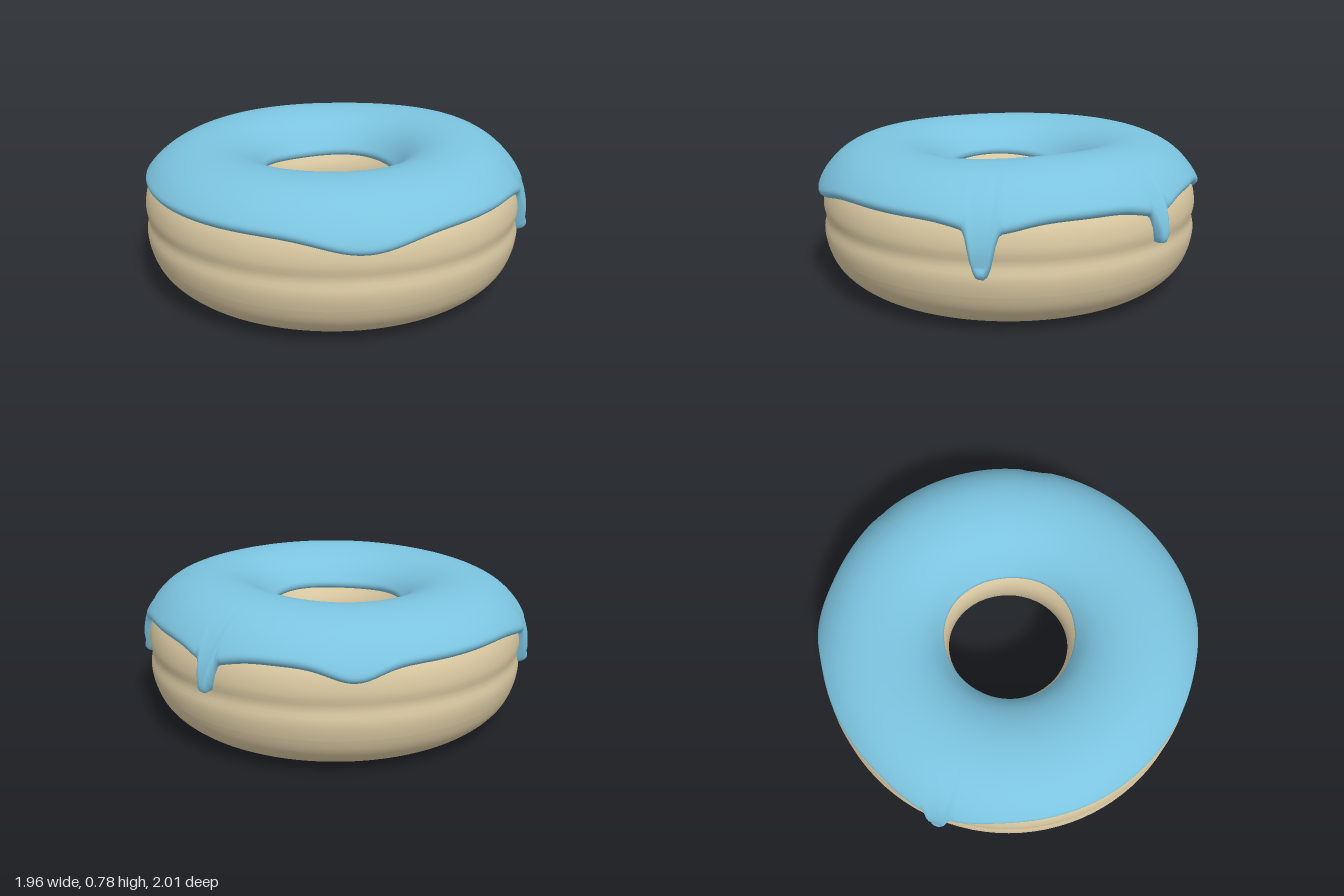
import * as THREE from 'three';

const RAD = Math.PI / 180, CZ = 0.02;

// Dough cross-section (radius, height): up the outside, over the top, down the hole, along the base
const PROFILE = new THREE.CatmullRomCurve3([
  [0.965, 0.21], [0.98, 0.3], [0.969, 0.365], [0.98, 0.43], [0.965, 0.52], [0.925, 0.59],
  [0.86, 0.655], [0.77, 0.7], [0.65, 0.716], [0.54, 0.7], [0.44, 0.65], [0.37, 0.57],
  [0.322, 0.48], [0.32, 0.38], [0.35, 0.27], [0.41, 0.15], [0.49, 0.05], [0.57, 0.01],
  [0.65, 0], [0.74, 0.008], [0.84, 0.048], [0.925, 0.125],
].map(([r, y]) => new THREE.Vector3(r, y, 0)), true);
const STEPS = 800;
const SAMPLES = PROFILE.getSpacedPoints(STEPS);
const STEP_LEN = PROFILE.getLength() / STEPS;
const TOP = SAMPLES.reduce((best, p, i) => (p.y > SAMPLES[best].y ? i : best), 0);

// Point on the dough profile at a (fractional) sample index
function profileAt(s) {
  const k = Math.floor(s);
  return SAMPLES[k].clone().lerp(SAMPLES[k + 1], s - k);
}

// Sample index where the profile reaches a height, on the outside or in the hole
function indexAtHeight(y, inner) {
  let k = inner ? TOP : 0;
  while (inner ? SAMPLES[k + 1].y > y : SAMPLES[k + 1].y < y) k++;
  return k + (y - SAMPLES[k].y) / (SAMPLES[k + 1].y - SAMPLES[k].y);
}

// Bumps along the icing edge: [angle, drop, half width, sharpness]
const WAVES = [[38, 0.065, 15, 2], [-34, 0.045, 11, 2], [-85, 0.04, 9, 2], [160, 0.06, 14, 2], [-127, 0.06, 9, 2]];
const DRIPS = [[-32, 0.203, 3.6, 4], [-85, 0.127, 2.6, 4], [160, 0.177, 3.4, 4]];

function bumpSum(list, deg, scaled) {
  return list.reduce((sum, [a, drop, w, p]) => {
    const d = Math.abs(((deg - a + 540) % 360) - 180);
    return sum + (scaled ? drop : 1) * Math.exp(-Math.pow(d / w, p));
  }, 0);
}

const outerEdge = (deg) =>
  indexAtHeight(0.55 - bumpSum(WAVES, deg, true) - bumpSum(DRIPS, deg, true), false);
const innerEdge = (deg) =>
  indexAtHeight(0.545 + 0.015 * Math.sin(deg * RAD) + 0.008 * Math.sin(3 * deg * RAD + 1), true);

function doughGeometry() {
  const pts = PROFILE.getSpacedPoints(96).map((p) => new THREE.Vector2(p.x, p.y));
  return new THREE.LatheGeometry(pts, 96);
}

// Icing: a skin over the dough whose thickness rounds off to nothing at its edges
function icingGeometry() {
  const cols = 480, rows = 40, pos = [], index = [];
  for (let i = 0; i < cols; i++) {
    const deg = (i / cols) * 360, a = deg * RAD;
    const s0 = outerEdge(deg), s1 = innerEdge(deg);
    const slope = (outerEdge(deg + 0.25) - outerEdge(deg - 0.25)) * STEP_LEN / (0.5 * RAD);
    const slant = Math.sqrt(1 + slope * slope);
    const drip = Math.min(1, bumpSum(DRIPS, deg, false));
    // gentle swell at the back, slight hollow at the front
    const swell = 0.03 * Math.pow(Math.max(0, Math.cos(a + 65 * RAD)), 3)
      - 0.014 * Math.pow(Math.max(0, Math.cos(a - 125 * RAD)), 3);
    for (let j = 0; j <= rows; j++) {
      const u = j / rows;
      const g = u - Math.sin(2 * Math.PI * u) / (2 * Math.PI) * 0.9; // rows crowd the edges
      const s = THREE.MathUtils.clamp(s0 + (s1 - s0) * g, s0, s1);
      const p = profileAt(s);
      const t = profileAt(s + 2).sub(profileAt(Math.max(0, s - 2))).normalize();
      const d0 = (s - s0) * STEP_LEN, d1 = (s1 - s) * STEP_LEN;
      const d = THREE.MathUtils.clamp(Math.min(d0 / slant, d1) / 0.03, 0, 1);
      const round = Math.sqrt(d * (2 - d));
      const lip = (0.007 + 0.016 * drip) * Math.exp(-Math.pow(d0 / 0.12, 2));
      const thick = (0.034 + lip) * round - 0.004;
      const r = p.x + t.y * thick;
      const y = p.y - t.x * thick + swell * Math.pow(Math.max(0, -t.x), 2);
      pos.push(r * Math.cos(a), y, r * Math.sin(a));
      if (j < rows) {
        const w = rows + 1, q = i * w + j, n = ((i + 1) % cols) * w + j;
        index.push(q, q + 1, n, n, q + 1, n + 1);
      }
    }
  }
  const geo = new THREE.BufferGeometry();
  geo.setAttribute('position', new THREE.Float32BufferAttribute(pos, 3));
  geo.setIndex(index);
  geo.computeVertexNormals();
  return geo;
}

export function createModel() {
  const group = new THREE.Group();
  group.name = 'donut';
  const add = (name, geo, color) => {
    const mesh = new THREE.Mesh(geo, new THREE.MeshStandardMaterial({ color }));
    mesh.name = name;
    mesh.position.z = CZ;
    group.add(mesh);
  };
  add('dough', doughGeometry(), 0xdbcaa3);
  add('icing', icingGeometry(), 0x7cc4e0);
  return group;
}
